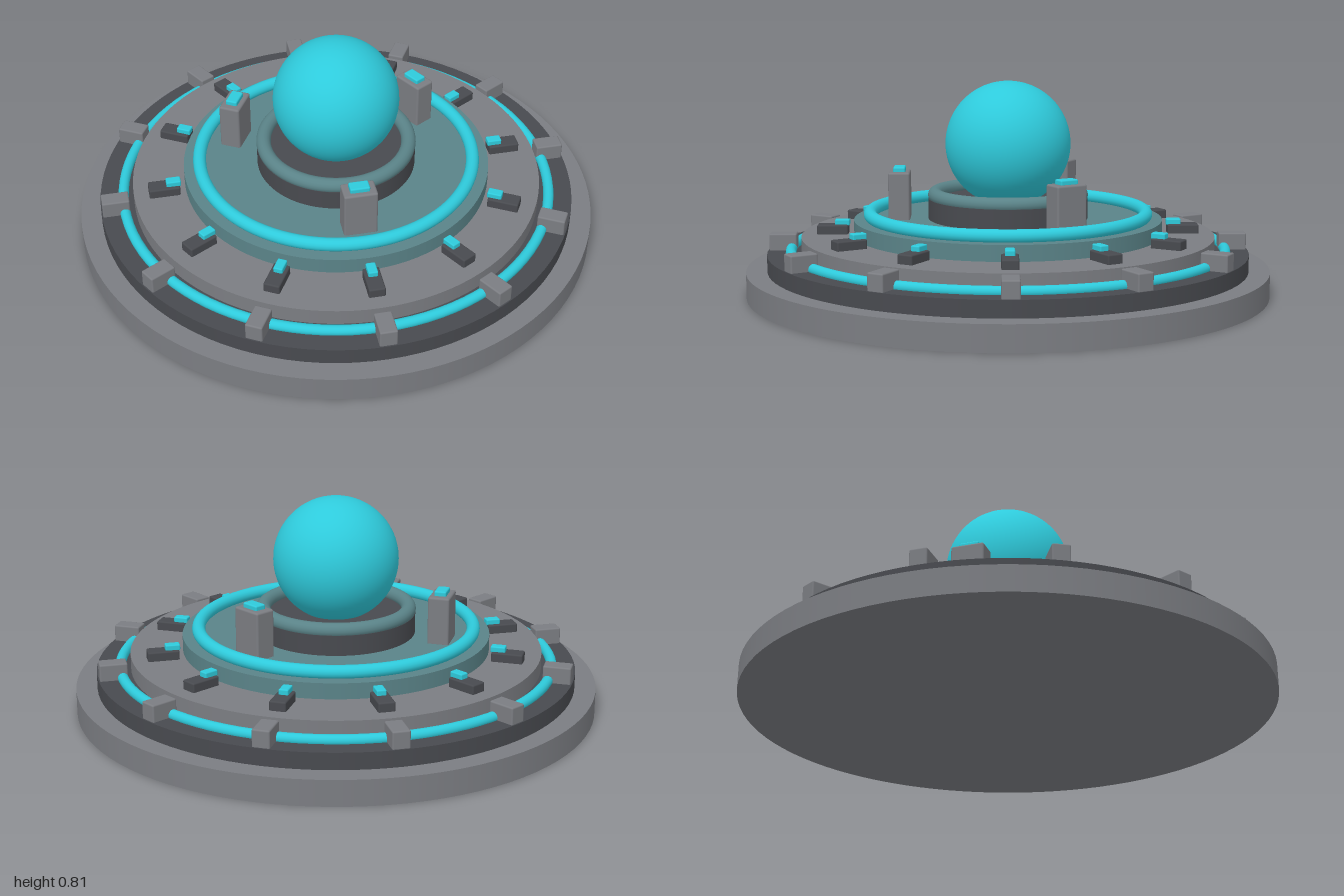
import * as THREE from 'three';
import { RoundedBoxGeometry } from 'three/addons/geometries/RoundedBoxGeometry.js';

const mat = (name, color) => {
  const m = new THREE.MeshStandardMaterial({ color });
  m.name = name;
  return m;
};

export function createModel() {
  const model = new THREE.Group();
  model.name = 'energyPlatform';
  const grey = mat('grey metal', 0x7b7d82);
  const dark = mat('dark metal', 0x484a4f);
  const teal = mat('muted teal', 0x5a8388);
  const cyan = mat('glowing cyan', 0x2ecadb);

  const add = (parent, name, geometry, material, x = 0, y = 0, z = 0) => {
    const mesh = new THREE.Mesh(geometry, material);
    mesh.name = name;
    mesh.position.set(x, y, z);
    parent.add(mesh);
    return mesh;
  };
  const disc = (name, r, y0, y1, material) =>
    add(model, name, new THREE.CylinderGeometry(r, r, y1 - y0, 96), material, 0, (y0 + y1) / 2);
  const ring = (name, r, tube, y, material) =>
    add(model, name, new THREE.TorusGeometry(r, tube, 16, 96), material, 0, y).rotation.x = Math.PI / 2;
  // Box spanning radii r0..r1 and heights y0..y1, pointing outward along +x
  const block = (parent, name, r0, r1, y0, y1, width, material, bevel) =>
    add(parent, name, new RoundedBoxGeometry(r1 - r0, y1 - y0, width, 2, bevel), material,
      (r0 + r1) / 2, (y0 + y1) / 2);
  // Evenly spaced copies around the vertical axis
  const around = (name, count, build) => {
    for (let i = 0; i < count; i++) {
      const g = new THREE.Group();
      g.name = name;
      g.rotation.y = (i / count) * Math.PI * 2;
      build(g);
      model.add(g);
    }
  };

  // Stacked tiers
  disc('base', 1, 0, 0.097, grey);
  disc('lowerTier', 0.92, 0.097, 0.16, dark);
  disc('middleTier', 0.79, 0.16, 0.222, grey);
  disc('upperTier', 0.59, 0.222, 0.282, teal);
  disc('collar', 0.305, 0.282, 0.36, dark);

  // Rings and central orb
  ring('outerLightRing', 0.83, 0.02, 0.168, cyan);
  ring('innerLightRing', 0.528, 0.025, 0.302, cyan);
  ring('collarRing', 0.279, 0.028, 0.373, teal);
  add(model, 'orb', new THREE.SphereGeometry(0.239, 64, 40), cyan, 0, 0.569);

  // Clamps over the outer ring, and lamps on the middle tier
  around('clamp', 12, (g) => block(g, 'clampBlock', 0.81, 0.915, 0.155, 0.224, 0.065, grey, 0.006));
  around('lamp', 12, (g) => {
    block(g, 'lampHousing', 0.613, 0.732, 0.215, 0.257, 0.062, dark, 0.006);
    block(g, 'lampLight', 0.608, 0.664, 0.253, 0.277, 0.036, cyan, 0.005);
  });

  // Three pylons with lit caps
  around('pylon', 3, (g) => {
    block(g, 'pylonPost', 0.374, 0.456, 0.275, 0.463, 0.126, grey, 0.008);
    block(g, 'pylonLight', 0.392, 0.438, 0.458, 0.481, 0.074, cyan, 0.006);
  });

  return model;
}
